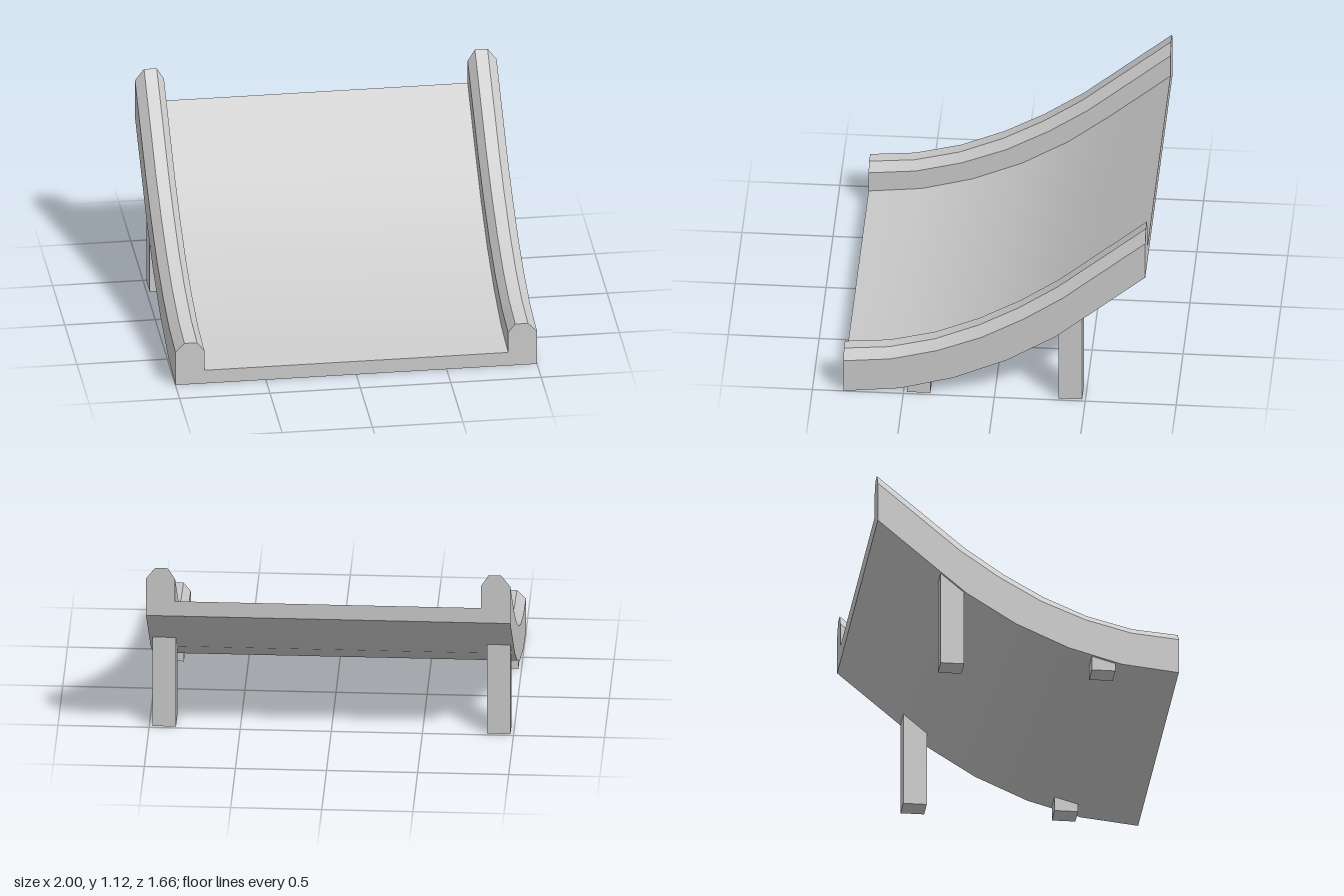
import * as THREE from 'three';
import { mergeGeometries } from 'three/addons/utils/BufferGeometryUtils.js';

// Side curves as [z, y], front to back
const underside = [[0.83, 0], [0.515, 0.035], [0.22, 0.12], [-0.07, 0.25], [-0.34, 0.42], [-0.59, 0.632], [-0.83, 0.836]];
const shoulder = [[0.83, 0.2], [0.57, 0.225], [0.315, 0.293], [0.07, 0.393], [-0.16, 0.525], [-0.375, 0.674], [-0.83, 1.06]];
const railTop = [[0.83, 0.25], [0.58, 0.272], [0.33, 0.337], [0.09, 0.44], [-0.13, 0.565], [-0.345, 0.715], [-0.83, 1.125]];
const deckTop = underside.map(([z, y], i) => [
  z + (shoulder[i][0] - z) * 0.4,
  y + (shoulder[i][1] - y) * 0.4,
]);

// U-shaped cross-section, counter-clockwise from the front: [x, curve]
const half = [[1, underside], [1, shoulder], [0.95, railTop], [0.88, railTop], [0.84, shoulder], [0.84, deckTop]];
const section = [...half, ...half.map(([x, c]) => [-x, c]).reverse()];

function geometryFrom(positions, indices) {
  const g = new THREE.BufferGeometry();
  g.setAttribute('position', new THREE.Float32BufferAttribute(positions, 3));
  g.setIndex(indices);
  g.computeVertexNormals();
  return g;
}

// One strip per section edge: smooth along the curve, sharp across it
function strip([xa, ca], [xb, cb]) {
  const positions = [], indices = [];
  ca.forEach(([z, y], i) => {
    positions.push(xa, y, z, xb, cb[i][1], cb[i][0]);
    if (i === 0) return;
    const p0 = 2 * i - 2, q0 = p0 + 1, p1 = 2 * i, q1 = p1 + 1;
    indices.push(p0, p1, q1, p0, q1, q0);
  });
  return geometryFrom(positions, indices);
}

// Flat end face of the ramp
function cap(i, back) {
  const outline = section.map(([x, c]) => new THREE.Vector2(x, c[i][1]));
  const faces = THREE.ShapeUtils.triangulateShape(outline, []);
  const positions = section.flatMap(([x, c]) => [x, c[i][1], c[i][0]]);
  return geometryFrom(positions, faces.flatMap(([a, b, c]) => (back ? [a, c, b] : [a, b, c])));
}

export function createModel() {
  const group = new THREE.Group();
  const material = new THREE.MeshStandardMaterial({ color: 0xcccccc });

  // Curved deck with chamfered side rails
  const parts = section.map((p, i) => strip(p, section[(i + 1) % section.length]));
  parts.push(cap(0, false), cap(underside.length - 1, true));
  const ramp = new THREE.Mesh(mergeGeometries(parts), material);
  ramp.name = 'rampWithRails';
  group.add(ramp);

  // Square legs under the rails, tops sunk into the ramp
  for (const [name, z, height] of [['frontLeg', 0.417, 0.12], ['backLeg', -0.417, 0.56]]) {
    for (const side of [1, -1]) {
      const leg = new THREE.Mesh(new THREE.BoxGeometry(0.13, height, 0.13), material);
      leg.position.set(side * 0.918, height / 2, z);
      leg.name = name + (side > 0 ? 'Left' : 'Right');
      group.add(leg);
    }
  }
  return group;
}
